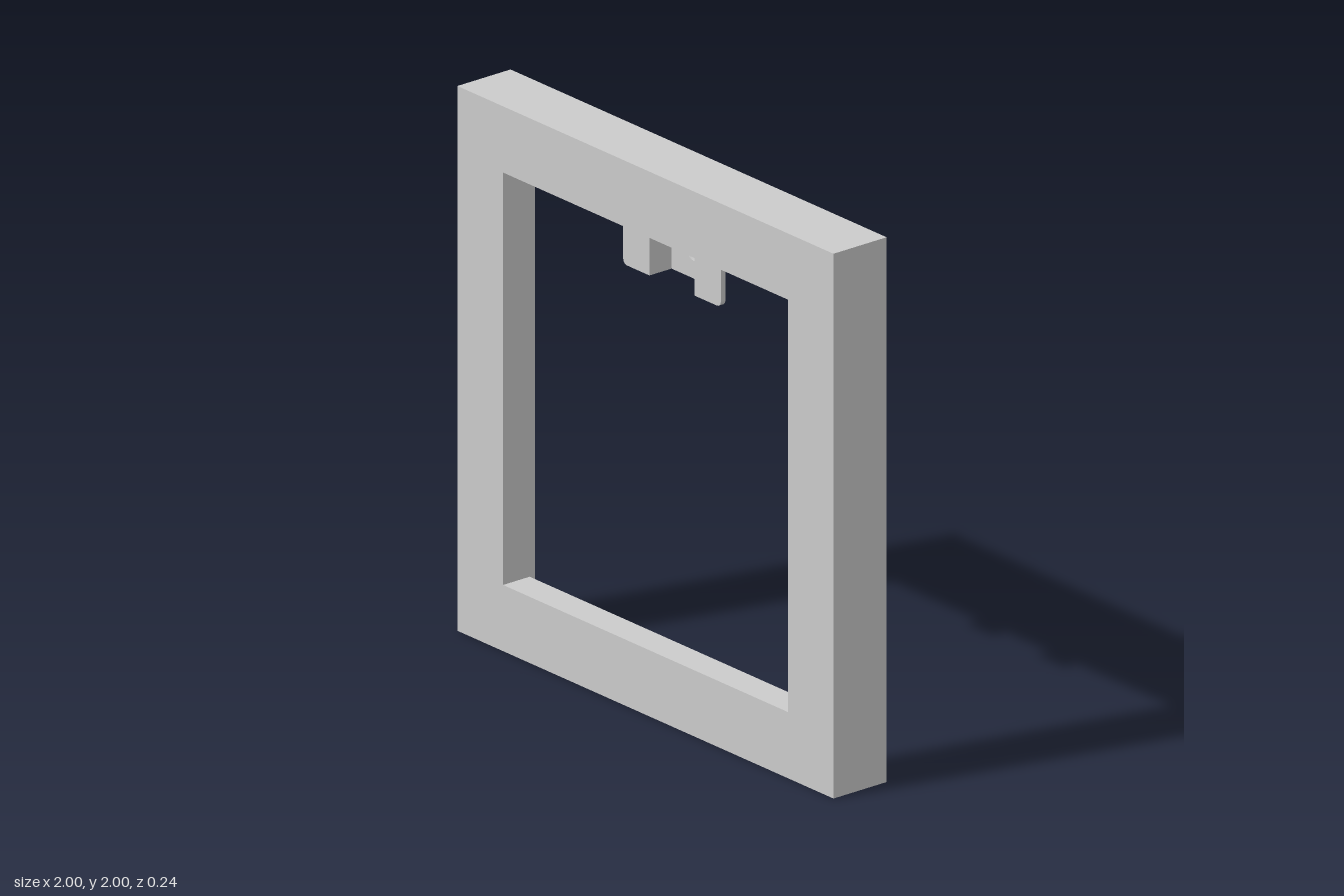
import * as THREE from 'three';

const HALF_DEPTH = 0.118;   // frame depth / 2
const OPENING = 0.757;      // half of the front opening
const REBATE = 0.87;        // half of the wider rear opening
const SHEET = 0.02;         // bracket sheet thickness
const BOTTOM = 1.545, TOP = 1 + REBATE; // bracket height range

const material = new THREE.MeshStandardMaterial({ color: 0xcccccc, flatShading: true });

function add(parent, name, geometry) {
  const mesh = new THREE.Mesh(geometry, material);
  mesh.name = name;
  parent.add(mesh);
  return mesh;
}

// Square frame: stepped section swept round four mitred corners
function frameGeometry() {
  const d = HALF_DEPTH;
  const section = [
    [1, -d], [1, d], [OPENING, d], [OPENING, 0], [REBATE, 0], [REBATE, -d], [1, -d],
  ].map(([r, z]) => new THREE.Vector2(r * Math.SQRT2, z));
  return new THREE.LatheGeometry(section, 4).rotateY(Math.PI / 4).rotateX(Math.PI / 2);
}

// Flat sheet between z and z + SHEET
function sheet(shape, z) {
  return new THREE.ExtrudeGeometry(shape, { depth: SHEET, bevelEnabled: false, curveSegments: 16 })
    .translate(0, 0, z);
}

// Flange with rounded outer corners and a screw hole
function flangeShape(side) {
  const inner = 0.12 * side, outer = 0.26 * side, r = 0.025;
  const s = new THREE.Shape();
  s.moveTo(inner, BOTTOM);
  s.lineTo(outer - r * side, BOTTOM);
  s.quadraticCurveTo(outer, BOTTOM, outer, BOTTOM + r);
  s.lineTo(outer, TOP - r);
  s.quadraticCurveTo(outer, TOP, outer - r * side, TOP);
  s.lineTo(inner, TOP);
  s.closePath();
  s.holes.push(new THREE.Path().absarc(0.205 * side, 1.708, 0.015, 0, Math.PI * 2));
  return s;
}

// Raised centre plate with a keyhole
function plateShape() {
  const w = 0.14;
  const s = new THREE.Shape();
  s.moveTo(-w, BOTTOM);
  s.lineTo(w, BOTTOM);
  s.lineTo(w, TOP);
  s.lineTo(-w, TOP);
  s.closePath();
  const slot = 0.03, round = 0.05, cy = 1.66;
  const a = Math.acos(slot / round);
  const hole = new THREE.Path();
  hole.absarc(0, cy, round, Math.PI - a, Math.PI * 2 + a, false);
  hole.absarc(0, 1.79, slot, 0, Math.PI, false);
  hole.closePath();
  s.holes.push(hole);
  return s;
}

export function createModel() {
  const model = new THREE.Group();
  model.name = 'pictureFrame';

  add(model, 'frame', frameGeometry()).position.y = 1;

  // Hat-shaped hanging bracket seated in the rear rebate
  const bracket = new THREE.Group();
  bracket.name = 'hangingBracket';
  model.add(bracket);

  add(bracket, 'keyholePlate', sheet(plateShape(), -HALF_DEPTH));
  for (const side of [1, -1]) {
    const label = side > 0 ? 'left' : 'right';
    add(bracket, label + 'Flange', sheet(flangeShape(side), -SHEET));
    const depth = HALF_DEPTH - 2 * SHEET;
    add(bracket, label + 'Web', new THREE.BoxGeometry(SHEET, TOP - BOTTOM, depth))
      .position.set(0.13 * side, (TOP + BOTTOM) / 2, -HALF_DEPTH / 2);
  }
  return model;
}
